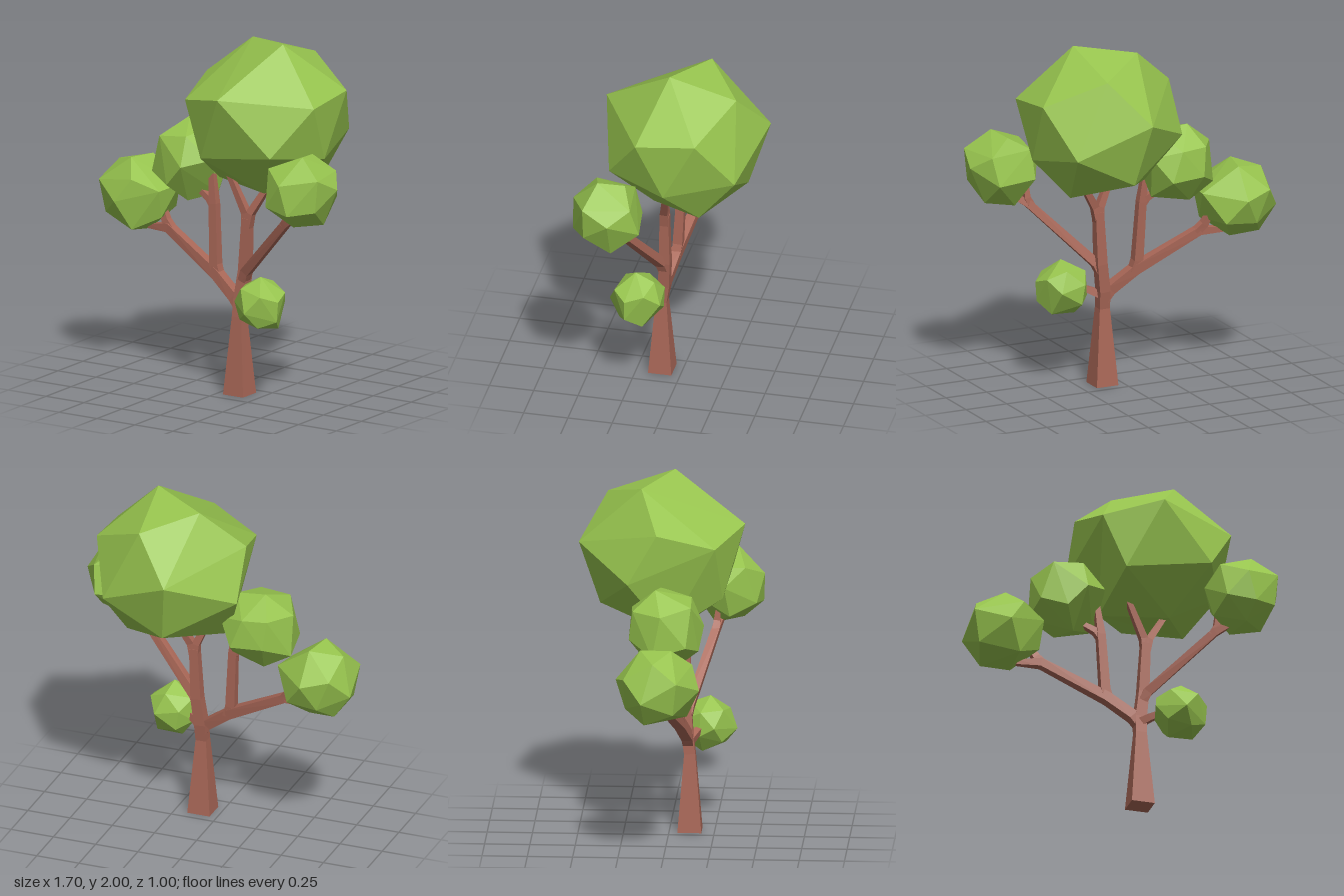
import * as THREE from 'three';
import { ConvexGeometry } from 'three/addons/geometries/ConvexGeometry.js';

const bark = new THREE.MeshStandardMaterial({ color: 0xa96757, flatShading: true });
const leaf = new THREE.MeshStandardMaterial({ color: 0x97c44e, flatShading: true });

// Irregular faceted ball shared by every leaf clump
const clumpPoints = [
  [0.33, 2.0, 0.02], [0.02, 1.965, -0.15], [0.155, 1.74, 0.415], [0.62, 1.70, 0.15],
  [0.615, 1.735, -0.185], [0.095, 1.64, -0.5], [0.3, 1.88, -0.35], [-0.22, 1.76, -0.055],
  [-0.155, 1.67, 0.265], [0.5, 1.46, -0.385], [-0.225, 1.48, -0.215], [0.45, 1.43, 0.335],
  [-0.03, 1.36, 0.3], [0.59, 1.38, 0], [0.27, 1.165, 0.12], [-0.1, 1.18, 0.0],
  [0.44, 1.19, -0.17], [0.15, 1.28, -0.385],
].map((p) => new THREE.Vector3(...p));

function clump(name, center, scale, rotation) {
  const geo = new ConvexGeometry(clumpPoints);
  geo.center();
  geo.rotateX(rotation[0]).rotateY(rotation[1]).rotateZ(rotation[2]);
  geo.center();
  const mesh = new THREE.Mesh(geo, leaf);
  mesh.scale.setScalar(scale);
  mesh.position.set(...center);
  mesh.name = name;
  return mesh;
}

// Square-section limb through [x, y, z, halfWidth] stations, mitred at the bends
function limb(name, stations) {
  const pts = stations.map((s) => new THREE.Vector3(s[0], s[1], s[2]));
  const last = pts.length - 1;
  const pos = [];
  const index = [];
  const corners = [[-1, 1], [1, 1], [1, -1], [-1, -1]];
  pts.forEach((p, i) => {
    const t = new THREE.Vector3();
    if (i > 0) t.add(p.clone().sub(pts[i - 1]).normalize());
    if (i < last) t.add(pts[i + 1].clone().sub(p).normalize());
    t.normalize();
    const u = new THREE.Vector3().crossVectors(t, new THREE.Vector3(0, 0, 1)).normalize();
    const v = new THREE.Vector3().crossVectors(u, t);
    const w = stations[i][3];
    for (const [a, b] of corners) {
      const c = p.clone().addScaledVector(u, a * w).addScaledVector(v, b * w);
      pos.push(c.x, c.y, c.z);
    }
    if (i === last) return;
    for (let k = 0; k < 4; k++) {
      const a = i * 4 + k, b = i * 4 + (k + 1) % 4;
      index.push(a, b, b + 4, a, b + 4, a + 4);
    }
  });
  const e = last * 4;
  index.push(0, 2, 1, 0, 3, 2, e, e + 1, e + 2, e, e + 2, e + 3);
  const indexed = new THREE.BufferGeometry();
  indexed.setAttribute('position', new THREE.Float32BufferAttribute(pos, 3));
  indexed.setIndex(index);
  const geo = indexed.toNonIndexed();
  geo.computeVertexNormals();
  const mesh = new THREE.Mesh(geo, bark);
  mesh.name = name;
  return mesh;
}

export function createModel() {
  const tree = new THREE.Group();
  tree.name = 'tree';

  // Trunk running up into the central branch
  tree.add(limb('trunk', [
    [0.107, 0, 0.113, 0.066], [0.107, 0.44, 0.113, 0.031], [0.11, 0.54, 0.1, 0.032],
    [0.13, 0.7, 0.09, 0.03], [0.145, 1.0, 0.09, 0.025],
  ]));
  tree.add(limb('centralForkRight', [[0.145, 0.95, 0.09, 0.024], [0.135, 1.03, 0.09, 0.021], [0.04, 1.24, 0.11, 0.015]]));
  tree.add(limb('centralForkLeft', [[0.145, 0.95, 0.09, 0.024], [0.165, 1.03, 0.09, 0.021], [0.29, 1.24, 0.05, 0.015]]));

  // Long low branch on the right and its twigs
  tree.add(limb('rightBranch', [
    [0.11, 0.49, 0.105, 0.028], [0.07, 0.545, 0.1, 0.03], [-0.07, 0.65, 0.07, 0.029],
    [-0.43, 0.845, 0.0, 0.025], [-0.57, 0.835, -0.01, 0.014],
  ]));
  tree.add(limb('rightTwig', [[-0.41, 0.835, 0.0, 0.022], [-0.455, 0.88, -0.01, 0.021], [-0.5, 0.97, -0.03, 0.014]]));

  // Upright branch rising from the right branch
  tree.add(limb('uprightBranch', [
    [-0.06, 0.635, 0.07, 0.026], [-0.082, 0.7, 0.065, 0.027], [-0.1, 1.04, 0.05, 0.023], [-0.12, 1.22, 0.04, 0.015],
  ]));
  tree.add(limb('uprightTwig', [[-0.1, 1.02, 0.05, 0.02], [-0.13, 1.06, 0.045, 0.019], [-0.22, 1.11, 0.03, 0.013]]));

  // Slanting branch on the left and its twigs
  tree.add(limb('leftBranch', [
    [0.115, 0.62, 0.095, 0.024], [0.15, 0.7, 0.11, 0.026], [0.5, 1.055, 0.24, 0.022], [0.62, 1.13, 0.28, 0.014],
  ]));
  tree.add(limb('leftTwig', [[0.48, 1.035, 0.235, 0.02], [0.51, 1.09, 0.24, 0.018], [0.515, 1.18, 0.25, 0.013]]));

  // Short stub carrying the small clump
  tree.add(limb('stub', [[0.09, 0.5, 0.1, 0.024], [0.16, 0.535, 0.14, 0.02], [0.24, 0.565, 0.18, 0.015]]));

  // Leaf clumps
  tree.add(clump('crown', [0.2, 1.582, -0.042], 1, [0, 0, 0]));
  tree.add(clump('rightClump', [-0.632, 1.015, -0.025], 0.495, [0.4, 1.9, 0.3]));
  tree.add(clump('upperRightClump', [-0.285, 1.26, 0.005], 0.495, [2.1, 0.6, 0.9]));
  tree.add(clump('leftClump', [0.637, 1.268, 0.3], 0.47, [0.9, 3.3, 1.2]));
  tree.add(clump('smallClump', [0.305, 0.565, 0.215], 0.335, [1.5, 2.4, 0.2]));
  return tree;
}
